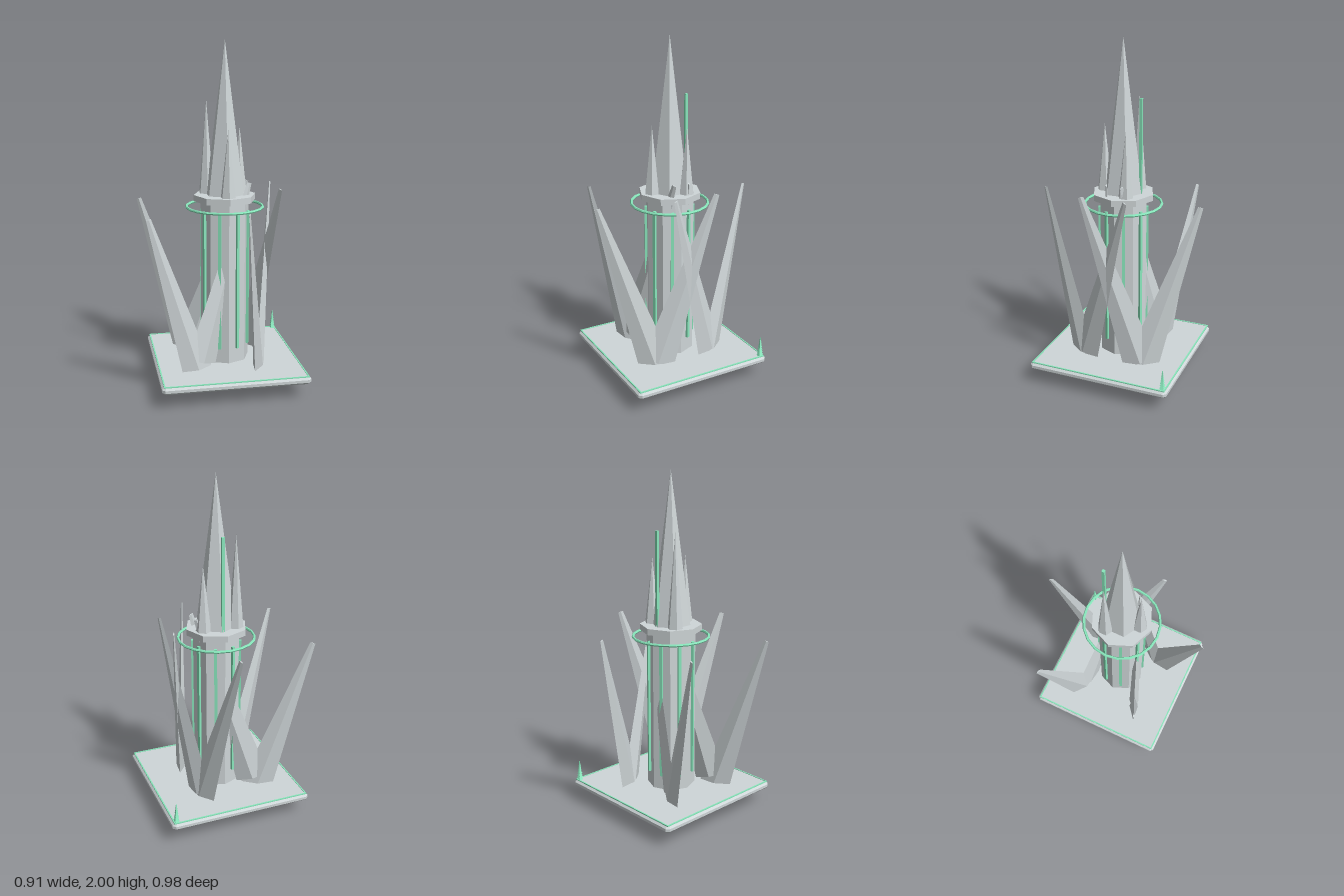
import * as THREE from 'three';

export function createModel() {
  const model = new THREE.Group();
  const stone = new THREE.MeshStandardMaterial({ name: 'pale stone', color: 0xcfd6d8, flatShading: true });
  const green = new THREE.MeshStandardMaterial({ name: 'mint green', color: 0x8ff0c4, flatShading: true });
  const cx = 0.028; // tower axis

  const add = (name, geometry, material, x, y, z, parent = model) => {
    const mesh = new THREE.Mesh(geometry, material);
    mesh.name = name;
    mesh.position.set(x, y, z);
    parent.add(mesh);
    return mesh;
  };
  const cone = (name, r, bottom, top, x, z) =>
    add(name, new THREE.ConeGeometry(r, top - bottom, 6), stone, x, (bottom + top) / 2, z);

  // Chamfered square base
  const h = 0.41, c = 0.008;
  const plan = new THREE.Shape([
    [-h + c, -h], [h - c, -h], [h, -h + c], [h, h - c],
    [h - c, h], [-h + c, h], [-h, h - c], [-h, -h + c],
  ].map(([x, y]) => new THREE.Vector2(x, y)));
  const slab = new THREE.ExtrudeGeometry(plan, {
    depth: 0.016, bevelSize: 0.015, bevelThickness: 0.014, bevelSegments: 1,
  });
  slab.rotateX(-Math.PI / 2);
  add('base', slab, stone, cx, 0.102, 0);

  // Thin trim around the base top
  for (const s of [-1, 1]) {
    add('baseTrim', new THREE.BoxGeometry(0.828, 0.006, 0.008), green, cx, 0.132, s * 0.41);
    add('baseTrim', new THREE.BoxGeometry(0.008, 0.006, 0.828), green, cx + s * 0.41, 0.132, 0);
  }

  // Octagonal tower, collar and floating ring
  add('column', new THREE.CylinderGeometry(0.142, 0.142, 0.98, 8), stone, cx, 0.61, 0);
  add('collar', new THREE.CylinderGeometry(0.181, 0.181, 0.036, 8), stone, cx, 1.104, 0);
  const ring = add('ring', new THREE.TorusGeometry(0.222, 0.008, 6, 20), green, cx, 1.05, 0);
  ring.rotation.x = Math.PI / 2;

  // One light strip on every column face
  for (let i = 0; i < 8; i++) {
    const a = (i + 0.5) * Math.PI / 4;
    const strip = add('lightStrip', new THREE.BoxGeometry(0.017, 0.81, 0.017), green,
      cx + Math.sin(a) * 0.137, 0.625, Math.cos(a) * 0.137);
    strip.rotation.y = a;
  }

  // Crown of spires and the mast behind it
  cone('mainSpire', 0.117, 1.12, 2, cx, 0);
  cone('sideSpire', 0.045, 1.12, 1.665, -0.069, -0.058);
  cone('sideSpire', 0.045, 1.12, 1.505, 0.126, -0.055);
  cone('sideSpire', 0.045, 1.12, 1.515, cx, 0.113);
  add('mast', new THREE.BoxGeometry(0.016, 0.55, 0.016), green, cx, 1.395, -0.106);

  // Four V-shaped clusters of flat tapered shards
  const length = 1.075, tilt = 0.311;
  const shardShape = new THREE.CylinderGeometry(0.015, 0.101, length, 4);
  shardShape.translate(0, length / 2, 0).scale(1, 1, 0.3);
  const cluster = (x, z, turn, lowY, highY) => {
    const group = new THREE.Group();
    group.name = 'shardCluster';
    group.position.set(x, 0, z);
    group.rotation.y = turn;
    add('lowShard', shardShape, stone, 0, lowY, 0, group).rotation.z = tilt;
    add('highShard', shardShape, stone, 0, highY, 0, group).rotation.z = -tilt;
    model.add(group);
  };
  for (const s of [-1, 1]) {
    cluster(-0.14, s * 0.172, s * 0.39, 0.031, 0.168);
    cluster(0.2, s * 0.174, s * 1.173, 0.077, 0.139);
  }

  // Small tiered pylon on the back corner
  for (let i = 0; i < 8; i++) {
    const r = 0.022 * (1 - i / 9);
    const tier = add('pylonTier', new THREE.CylinderGeometry(r * 0.4, r, 0.016, 4), green,
      0.424, 0.137 + i * 0.0152, -0.396);
    tier.rotation.y = Math.PI / 4;
  }
  return model;
}
